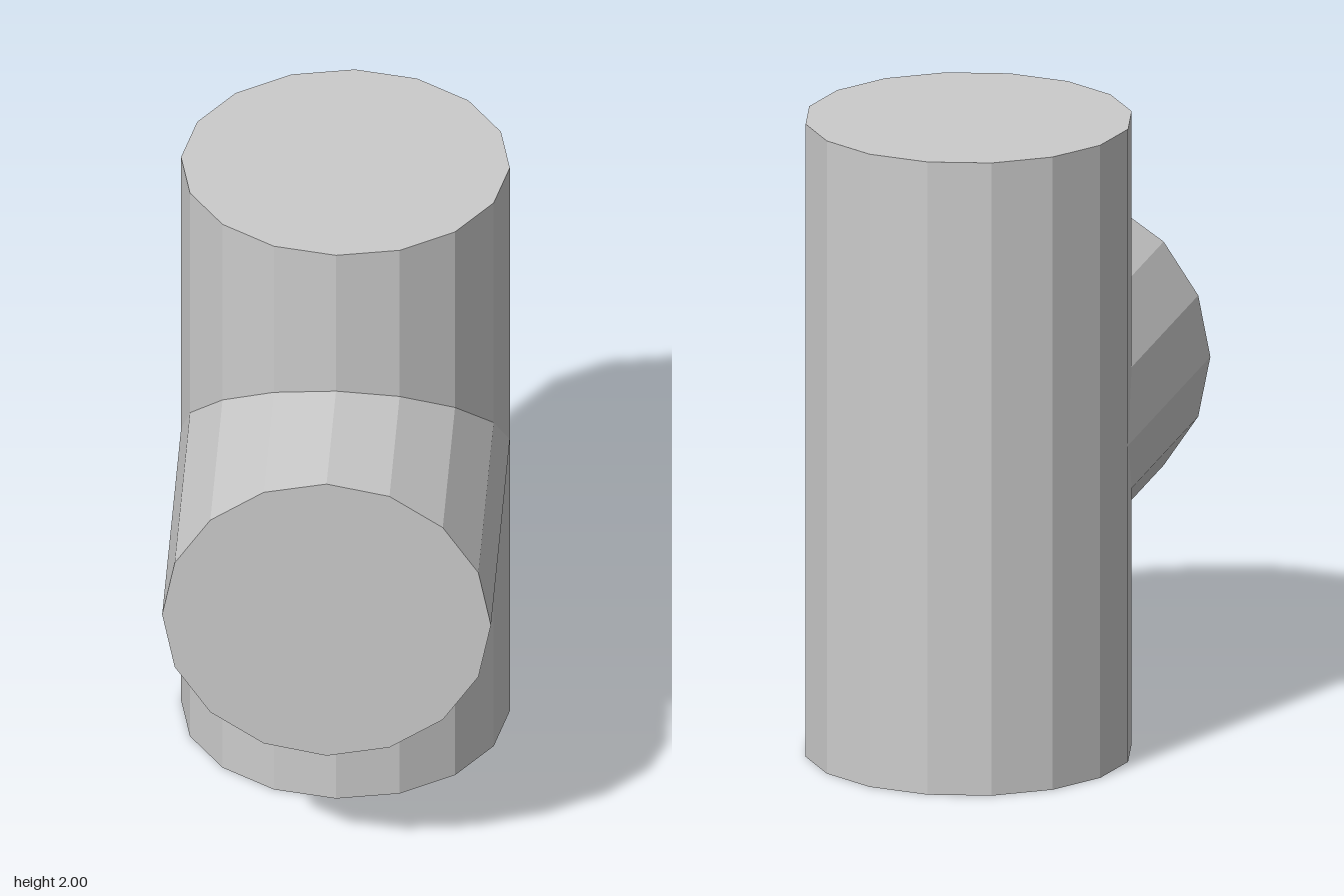
import * as THREE from 'three';

const RADIUS = 0.5, SIDES = 16, AXIS_Z = -0.25, BRANCH_Y = 1, FRONT_Z = 0.75;

export function createModel() {
  const group = new THREE.Group();
  group.name = 'teePipe';
  const material = new THREE.MeshStandardMaterial({ color: 0xcccccc, flatShading: true });

  const add = (name, geometry) => {
    const mesh = new THREE.Mesh(geometry, material);
    mesh.name = name;
    group.add(mesh);
  };

  // Upright main pipe, closed at both ends
  add('mainPipe', new THREE.CylinderGeometry(RADIUS, RADIUS, 2, SIDES).translate(0, 1, AXIS_Z));

  // Forward branch, its back rim mitred to follow the main pipe's wall
  const length = FRONT_Z - AXIS_Z;
  const branch = new THREE.CylinderGeometry(RADIUS, RADIUS, length, SIDES, 1, true)
    .rotateX(Math.PI / 2)
    .translate(0, BRANCH_Y, AXIS_Z + length / 2);
  const p = branch.attributes.position;
  for (let i = 0; i < p.count; i++) {
    if (p.getZ(i) < 0) p.setZ(i, AXIS_Z + Math.abs(p.getY(i) - BRANCH_Y));
  }
  branch.computeVertexNormals();
  add('branchPipe', branch);

  // Flat end of the branch
  add('branchCap', new THREE.CircleGeometry(RADIUS, SIDES).translate(0, BRANCH_Y, FRONT_Z));

  return group;
}
